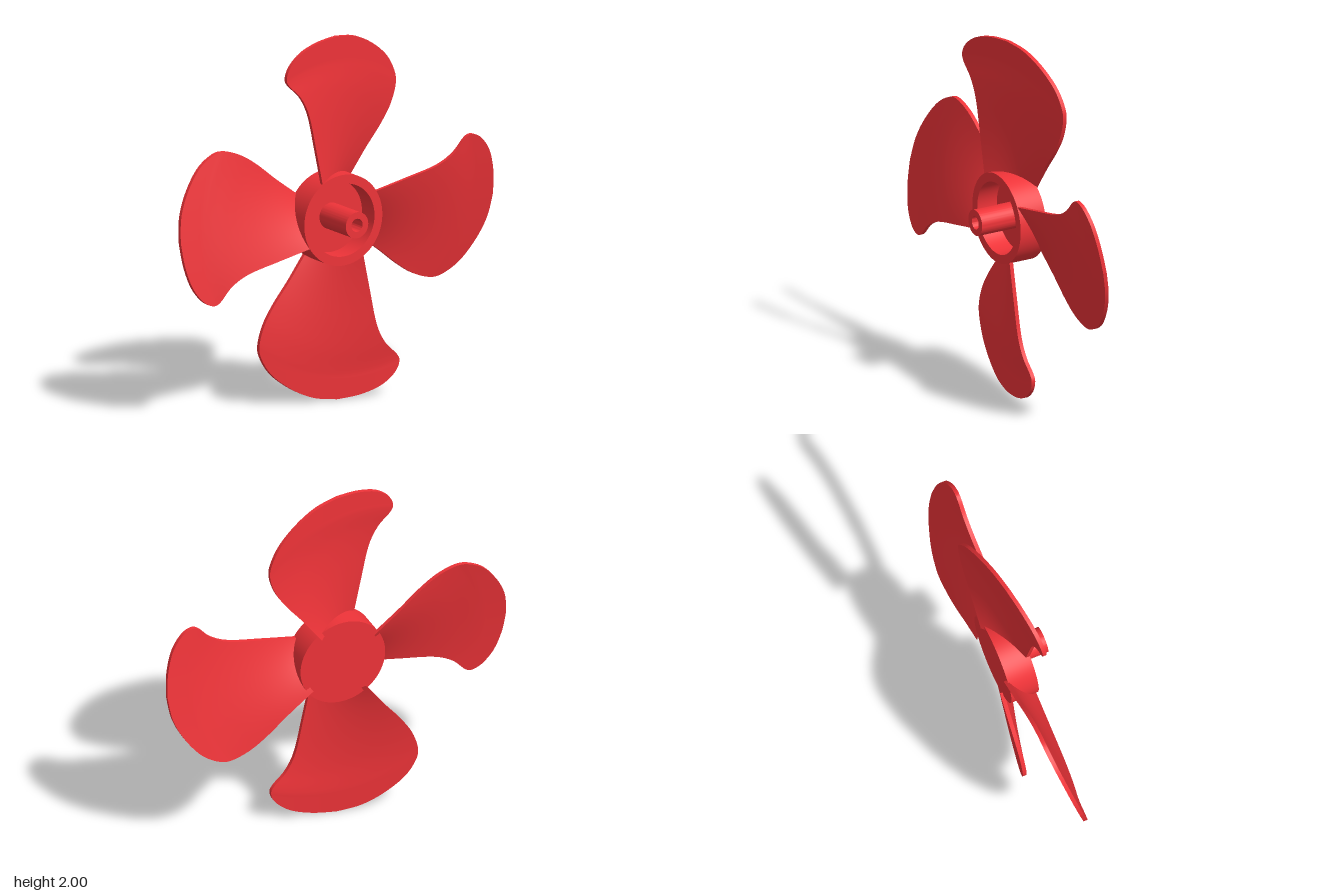
import * as THREE from 'three';
import { ParametricGeometry } from 'three/addons/geometries/ParametricGeometry.js';
import { toCreasedNormals } from 'three/addons/utils/BufferGeometryUtils.js';

const red = new THREE.MeshStandardMaterial({ color: 0xee3338 });
const spline = (pts) => new THREE.SplineCurve(pts.map(([x, y]) => new THREE.Vector2(x, y)));

// Blade outline: both edges run from inside the hub wall to the tip
const leading = spline([[-0.125, 0.185], [-0.17, 0.4], [-0.215, 0.6], [-0.27, 0.71], [-0.345, 0.785],
  [-0.36, 0.83], [-0.33, 0.89], [-0.25, 0.95], [-0.13, 0.987], [0, 1]]);
const trailing = spline([[0.13, 0.18], [0.24, 0.33], [0.34, 0.455], [0.405, 0.56], [0.437, 0.67],
  [0.42, 0.75], [0.36, 0.84], [0.25, 0.925], [0.13, 0.98], [0, 1]]);
const HALF_THICKNESS = 0.011;

// Point on the twisted blade: s across the chord, t from root to tip
function bladePoint(s, t, offset, target) {
  const k = Math.min(t, 0.998);
  const a = leading.getPoint(k), b = trailing.getPoint(k);
  const radius = THREE.MathUtils.lerp(a.length(), b.length(), s);
  const angle = THREE.MathUtils.lerp(Math.atan2(a.x, a.y), Math.atan2(b.x, b.y), s);
  const x = radius * Math.sin(angle), y = radius * Math.cos(angle);
  // Past its widest point the blade keeps the pitch of the full chord
  const left = k < 5 / 9 ? a.x : -0.36;
  const right = k < 4 / 9 ? b.x : 0.437;
  const u = (x - left) / (right - left);
  target.set(x, y, 0.009 - 0.15 * (0.8 * u + 0.2 * u * u) + offset);
}

function bladeGeometries() {
  const front = new ParametricGeometry((u, v, p) => bladePoint(u, v, HALF_THICKNESS, p), 20, 72);
  const back = new ParametricGeometry((u, v, p) => bladePoint(1 - u, v, -HALF_THICKNESS, p), 20, 72);
  // Rim goes up the leading edge and down the trailing edge
  const rim = new ParametricGeometry((u, v, p) => {
    const up = u <= 0.5;
    bladePoint(up ? 0 : 1, up ? u * 2 : 2 - u * 2, HALF_THICKNESS * (1 - 2 * v), p);
  }, 144, 1);
  return { bladeFront: front, bladeBack: back, bladeRim: rim };
}

// Turned part with its axis along z
function turned(name, profile) {
  const lathe = new THREE.LatheGeometry(profile.map(([r, z]) => new THREE.Vector2(r, z)), 72);
  lathe.rotateX(Math.PI / 2);
  const mesh = new THREE.Mesh(toCreasedNormals(lathe, 0.6), red);
  mesh.name = name;
  return mesh;
}

export function createModel() {
  const model = new THREE.Group();
  model.name = 'propeller';
  const rotor = new THREE.Group();
  rotor.name = 'rotor';
  rotor.position.y = 1;
  model.add(rotor);

  // Cup-shaped hub, open to the front
  rotor.add(turned('hub', [[0, -0.137], [0.25, -0.137], [0.25, 0.022], [0.2, 0.022], [0.2, -0.1], [0, -0.1]]));

  // Hollow shaft
  rotor.add(turned('shaft', [[0.072, -0.1], [0.072, 0.155], [0.036, 0.155], [0.036, -0.09], [0, -0.09]]));

  // Four equal blades
  const parts = bladeGeometries();
  for (const g of Object.values(parts)) g.computeVertexNormals();
  for (let i = 0; i < 4; i++) {
    const blade = new THREE.Group();
    blade.name = 'blade' + (i + 1);
    for (const [name, geometry] of Object.entries(parts)) {
      const mesh = new THREE.Mesh(geometry, red);
      mesh.name = name;
      blade.add(mesh);
    }
    blade.rotation.z = (i * Math.PI) / 2;
    rotor.add(blade);
  }
  return model;
}
